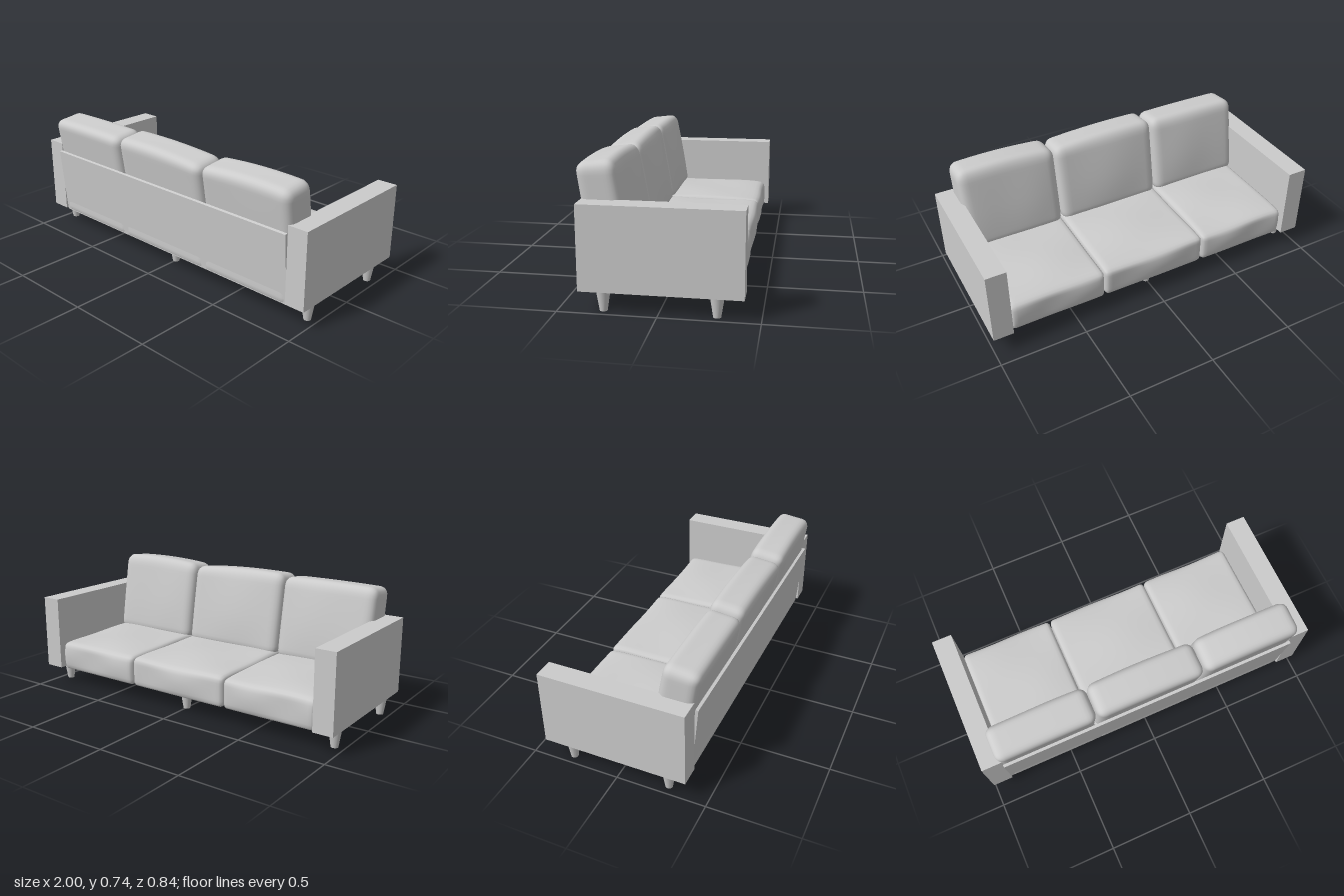
import * as THREE from 'three';
import { mergeVertices } from 'three/addons/utils/BufferGeometryUtils.js';

const material = new THREE.MeshStandardMaterial({ color: 0xcccccc });

function addMesh(parent, name, geometry, x = 0, y = 0, z = 0) {
  const mesh = new THREE.Mesh(geometry, material);
  mesh.name = name;
  mesh.position.set(x, y, z);
  parent.add(mesh);
  return mesh;
}

// Soft box: edges rounded by radius r, then each vertex moved by the given rule
function cushionGeometry(w, h, d, r, segments, shape) {
  let geo = new THREE.BoxGeometry(w, h, d, ...segments);
  geo.deleteAttribute('normal');
  geo.deleteAttribute('uv');
  geo = mergeVertices(geo, 1e-5);
  const half = new THREE.Vector3(w / 2 - r, h / 2 - r, d / 2 - r);
  const low = half.clone().negate();
  const pos = geo.attributes.position;
  const p = new THREE.Vector3();
  const inner = new THREE.Vector3();
  for (let i = 0; i < pos.count; i++) {
    p.fromBufferAttribute(pos, i);
    inner.copy(p).clamp(low, half);
    p.sub(inner).setLength(r).add(inner);
    shape(p, (2 * p.x) / w, (2 * p.y) / h, (2 * p.z) / d);
    pos.setXYZ(i, p.x, p.y, p.z);
  }
  geo.computeVertexNormals();
  return geo;
}

export function createModel() {
  const sofa = new THREE.Group();
  sofa.name = 'sofa';

  // Block arms
  for (const side of [-1, 1]) {
    addMesh(sofa, side > 0 ? 'leftArm' : 'rightArm',
      new THREE.BoxGeometry(0.115, 0.435, 0.81), side * 0.9425, 0.3275, -0.015);
  }

  // Tapered legs under the arms and the middle
  const legGeo = new THREE.CylinderGeometry(0.037, 0.02, 0.11, 12);
  for (const x of [-0.945, 0, 0.945]) {
    for (const z of [0.275, -0.285]) addMesh(sofa, 'leg', legGeo, x, 0.055, z);
  }

  // Thin back panel, leaning outward toward its top
  const panel = new THREE.Shape([
    new THREE.Vector2(0.36, 0.1), new THREE.Vector2(0.376, 0.1),
    new THREE.Vector2(0.41, 0.5), new THREE.Vector2(0.394, 0.503),
  ]);
  const panelGeo = new THREE.ExtrudeGeometry(panel, { depth: 1.77, bevelEnabled: false });
  panelGeo.rotateY(-Math.PI / 2).translate(0.885, 0, 0);
  addMesh(sofa, 'backPanel', panelGeo);

  // Three seat and back cushions; topY and crown position vary a little
  const places = [
    { x0: -0.882, x1: -0.322, b0: -0.903, b1: -0.322, topY: 0.712, crown: 0.1, bulge: 0.006 },
    { x0: -0.317, x1: 0.317, b0: -0.317, b1: 0.317, topY: 0.712, crown: -0.4, bulge: 0.016 },
    { x0: 0.322, x1: 0.882, b0: 0.322, b1: 0.9, topY: 0.715, crown: 0.2, bulge: 0.02 },
  ];
  places.forEach(({ x0, x1, b0, b1, topY, crown, bulge }, i) => {
    // Seat: flat below, softly puffed on top and in front
    const seatGeo = cushionGeometry(x1 - x0, 0.18, 0.77, 0.025, [30, 10, 36], (p, u, v, w) => {
      const dome = (1 - u * u) * (1 - w * w);
      const front = Math.max(0, -w);
      if (v > 0) {
        p.y += v * (0.012 * dome + 0.004 * Math.sin(3 * u + i) * Math.cos(4 * w + i));
        p.y -= v * 0.012 * front ** 6;
      }
      if (w < 0) p.z -= front ** 3 * 0.006 * (1 - v * v) * (1 + Math.sin(4 * u + 2 * i));
    });
    addMesh(sofa, 'seatCushion', seatGeo, (x0 + x1) / 2, 0.185, -0.004);

    // Back: leaning, thinner toward the top, with a sloped crown
    const height = topY - 0.25;
    const backGeo = cushionGeometry(b1 - b0, height, 0.21, 0.048, [30, 24, 12], (p, u, v, w) => {
      const t = (v + 1) / 2;
      if (w < 0) p.z += w * 0.012 * (1 - u * u) * (1 - v * v) * (1 + 0.4 * Math.sin(3 * u + 2 * i));
      if (v > 0) {
        p.y += v * v * (bulge * (1 - 0.7 * (u - crown) ** 2) - 0.012 * w);
      }
      p.z += 0.07 * t - 0.012 * t * t * (w < 0 ? w : 0);
    });
    addMesh(sofa, 'backCushion', backGeo, (b0 + b1) / 2, 0.25 + height / 2, 0.25);
  });

  return sofa;
}
